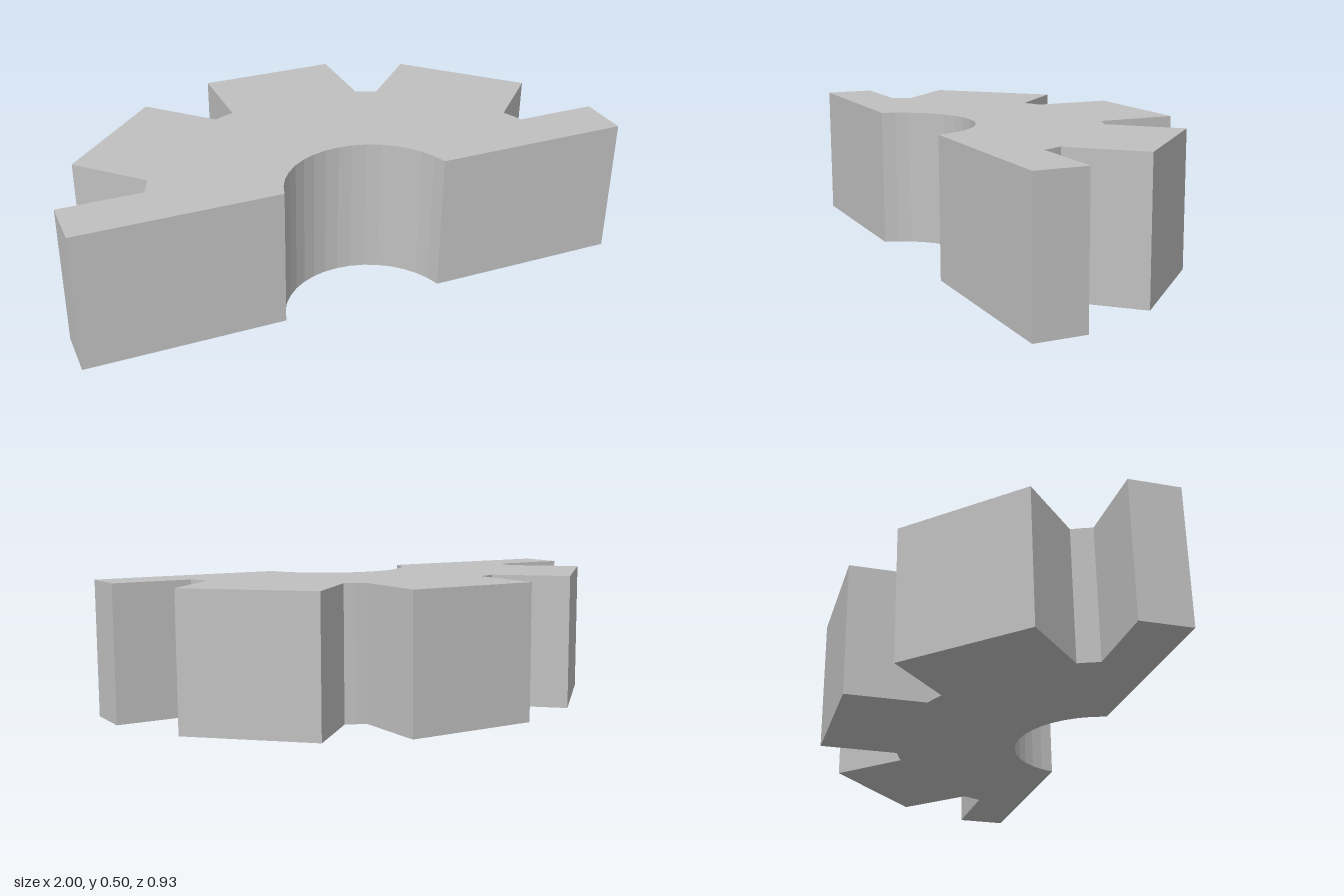
import * as THREE from 'three';

const HEIGHT = 0.5;
const OUTER = 1;        // distance from gear centre to the flat tooth tips
const ROOT = 0.75;      // radius between the teeth
const BORE = 0.3;       // radius of the central hole
const HALF_TOOTH = 0.25;
const CUT = 0.0667;     // the gear is sliced just above its centre line
const CENTRE_Z = 0.5333;

export function createModel() {
  const model = new THREE.Group();
  model.name = 'halfGear';
  const steel = new THREE.MeshStandardMaterial({ color: 0xc0c0c0 });
  steel.name = 'light grey';

  const points = [];
  const polar = (r, a) => points.push(new THREE.Vector2(r * Math.cos(a), r * Math.sin(a)));
  const rootAngle = Math.asin(HALF_TOOTH / ROOT);
  const tipRadius = Math.hypot(OUTER, HALF_TOOTH);
  const tipAngle = Math.atan2(HALF_TOOTH, OUTER);
  const boreAngle = Math.asin(CUT / BORE);

  // Teeth every 45 degrees; the first and last are cut off by the slice
  points.push(new THREE.Vector2(BORE * Math.cos(boreAngle), CUT), new THREE.Vector2(OUTER, CUT));
  for (let i = 0; i <= 4; i++) {
    const a = i * Math.PI / 4;
    if (i > 0) {
      polar(ROOT, a - Math.PI / 8); // middle of the root arc
      polar(ROOT, a - rootAngle);
      if (i < 4) polar(tipRadius, a - tipAngle);
    }
    if (i < 4) {
      polar(tipRadius, a + tipAngle);
      polar(ROOT, a + rootAngle);
    }
  }
  points.splice(-1, 0); // root corner of the last tooth is already in place
  points.push(new THREE.Vector2(-OUTER, HALF_TOOTH), new THREE.Vector2(-OUTER, CUT));

  // Bore arc, back from left to right
  const steps = 16;
  for (let i = 0; i < steps; i++) {
    polar(BORE, Math.PI - boreAngle - (Math.PI - 2 * boreAngle) * i / steps);
  }

  const geometry = new THREE.ExtrudeGeometry(new THREE.Shape(points), {
    depth: HEIGHT, bevelEnabled: false,
  });
  geometry.rotateX(-Math.PI / 2).translate(0, 0, CENTRE_Z);

  const gear = new THREE.Mesh(geometry, steel);
  gear.name = 'gearBody';
  model.add(gear);
  return model;
}
